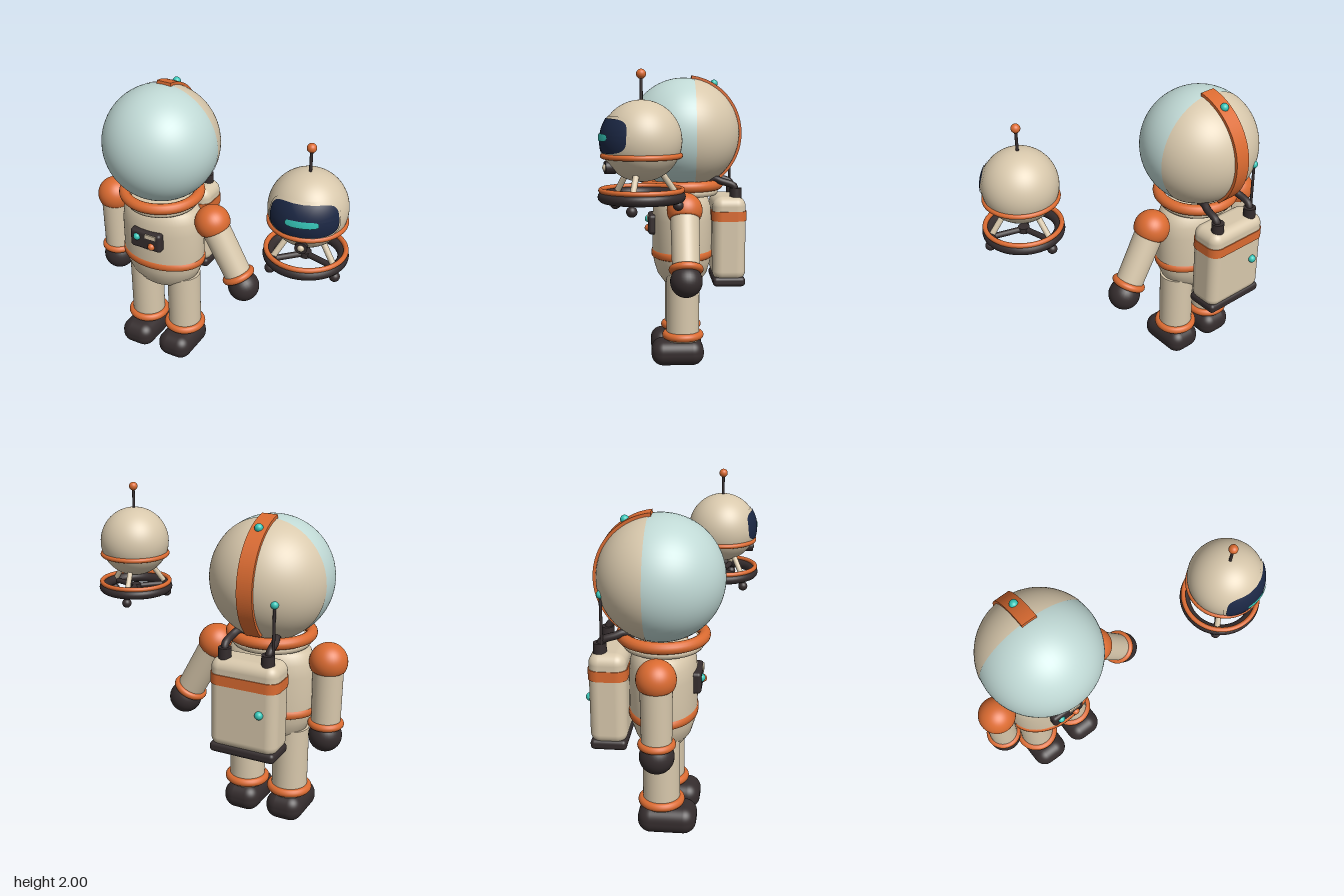
import * as THREE from 'three';
import { RoundedBoxGeometry } from 'three/addons/geometries/RoundedBoxGeometry.js';

const material = (name, color) => {
  const m = new THREE.MeshStandardMaterial({ color });
  m.name = name;
  return m;
};
const V = (x, y, z) => new THREE.Vector3(x, y, z);

export function createModel() {
  const cream = material('cream', 0xd8c8ac);
  const orange = material('orange', 0xdb6b31);
  const dark = material('charcoal', 0x352d2e);
  const glass = material('pale glass', 0xc0d9d5);
  const navy = material('navy', 0x1b2744);
  const teal = material('teal', 0x36c6b8);

  const add = (parent, name, geometry, mat, x = 0, y = 0, z = 0) => {
    const mesh = new THREE.Mesh(geometry, mat);
    mesh.name = name;
    mesh.position.set(x, y, z);
    parent.add(mesh);
    return mesh;
  };
  const group = (parent, name, x = 0, y = 0, z = 0) => {
    const g = new THREE.Group();
    g.name = name;
    g.position.set(x, y, z);
    parent.add(g);
    return g;
  };
  const ball = (r) => new THREE.SphereGeometry(r, 32, 20);
  const cyl = (rTop, rBottom, h) => new THREE.CylinderGeometry(rTop, rBottom, h, 40);
  // horizontal ring given by its outer radius
  const ring = (outer, tube) => new THREE.TorusGeometry(outer - tube, tube, 14, 64).rotateX(Math.PI / 2);
  const lathe = (pts) => new THREE.LatheGeometry(pts.map((p) => new THREE.Vector2(...p)), 64);
  const rod = (a, b, r) => new THREE.TubeGeometry(new THREE.LineCurve3(a, b), 1, r, 14);

  // horizontal slab with rounded corners, base at y = 0
  const slab = (w, d, r, h) => {
    const s = new THREE.Shape();
    const x = w / 2 - r, y = d / 2 - r, q = Math.PI / 2;
    s.absarc(x, y, r, 0, q);
    s.absarc(-x, y, r, q, 2 * q);
    s.absarc(-x, -y, r, 2 * q, 3 * q);
    s.absarc(x, -y, r, 3 * q, 4 * q);
    return new THREE.ExtrudeGeometry(s, { depth: h, bevelEnabled: false, curveSegments: 10 }).rotateX(-q);
  };

  // rounded patch lying on a sphere, sized by half angles
  const patch = (radius, halfLon, halfLat, midLat) => {
    const g = new THREE.RingGeometry(0, 1, 72, 14);
    const p = g.attributes.position;
    for (let i = 0; i < p.count; i++) {
      const r = Math.hypot(p.getX(i), p.getY(i));
      const t = Math.atan2(p.getY(i), p.getX(i));
      const bend = (v) => Math.sign(v) * Math.sqrt(Math.abs(v)) * r;
      const lon = halfLon * bend(Math.cos(t));
      const lat = midLat + halfLat * bend(Math.sin(t));
      p.setXYZ(i, radius * Math.cos(lat) * Math.sin(lon), radius * Math.sin(lat), radius * Math.cos(lat) * Math.cos(lon));
    }
    g.computeVertexNormals();
    return g;
  };

  const model = new THREE.Group();
  model.name = 'astronautAndRobot';

  // ---- Astronaut ----
  const astro = group(model, 'astronaut', -0.455, 0, -0.04);

  // torso and belt are flattened front to back
  add(astro, 'torso', lathe([[0, 0.525], [0.1, 0.53], [0.18, 0.56], [0.24, 0.62], [0.275, 0.7], [0.29, 0.79],
    [0.29, 1.0], [0.28, 1.08], [0.255, 1.14], [0.21, 1.175], [0, 1.19]]), cream).scale.z = 0.71;
  add(astro, 'belt', lathe([[0.28, 0.733], [0.296, 0.74], [0.299, 0.76], [0.296, 0.782], [0.28, 0.79]]), orange).scale.z = 0.71;
  add(astro, 'collar', lathe([[0.2, 1.16], [0.235, 1.163], [0.246, 1.18], [0.246, 1.2], [0.2, 1.22]]), cream);
  add(astro, 'neckRing', ring(0.282, 0.036), orange, 0, 1.235, 0);

  // chest panel
  add(astro, 'chestPanel', new RoundedBoxGeometry(0.23, 0.135, 0.065, 4, 0.022), dark, 0, 0.965, 0.203);
  add(astro, 'tealButton', ball(0.025), teal, -0.06, 0.985, 0.232);
  add(astro, 'orangeButton', ball(0.025), orange, 0.05, 0.937, 0.234);
  add(astro, 'panelLabel', new THREE.BoxGeometry(0.08, 0.028, 0.009), cream, 0.045, 1.008, 0.237);

  // helmet: glass in front, shell behind, stripe over the crown
  const helmet = group(astro, 'helmet', 0, 1.582, -0.01);
  const seam = 1.385;
  add(helmet, 'helmetGlass', new THREE.SphereGeometry(0.377, 64, 40, 0, Math.PI * 2, seam - 0.03, Math.PI - seam + 0.03).rotateX(-Math.PI / 2), glass);
  add(helmet, 'helmetShell', new THREE.SphereGeometry(0.38, 64, 32, 0, Math.PI * 2, 0, seam).rotateX(-Math.PI / 2), cream);
  const arc = new THREE.Shape();
  const a0 = THREE.MathUtils.degToRad(82), a1 = THREE.MathUtils.degToRad(-50);
  arc.absarc(0, 0, 0.395, a1, a0, false);
  arc.absarc(0, 0, 0.372, a0, a1, true);
  add(helmet, 'helmetStripe', new THREE.ExtrudeGeometry(arc, { depth: 0.1, bevelEnabled: false, curveSegments: 40 })
    .translate(0, 0, -0.05).rotateY(Math.PI / 2), orange);
  add(helmet, 'helmetLamp', ball(0.026), teal, 0, 0.338, -0.208);

  // arms and legs
  for (const side of [-1, 1]) {
    const name = side > 0 ? 'left' : 'right';
    const arm = group(astro, name + 'Arm', side * 0.377, 1.1, 0);
    if (side > 0) arm.rotation.z = 0.5;
    add(arm, 'shoulder', new THREE.SphereGeometry(0.117, 40, 24, 0, Math.PI * 2, 0, Math.PI * 0.65), orange);
    add(arm, 'shoulderRim', cyl(0.104, 0.096, 0.008), orange, 0, -0.056, 0);
    add(arm, 'sleeve', cyl(0.095, 0.09, 0.4), cream, 0, -0.2, 0);
    add(arm, 'cuff', ring(0.112, 0.024), orange, 0, -0.404, 0);
    add(arm, 'glove', ball(0.104), dark, 0, -0.485, 0);

    const leg = group(astro, name + 'Leg', side * 0.149, 0, 0);
    add(leg, 'trouser', cyl(0.113, 0.113, 0.46), cream, 0, 0.4, 0);
    add(leg, 'ankleRing', ring(0.143, 0.027), orange, 0, 0.206, 0);
    add(leg, 'boot', new RoundedBoxGeometry(0.24, 0.175, 0.36, 8, 0.08), dark, 0, 0.0875, 0.037);
  }

  // backpack
  const pack = group(astro, 'backpack', 0, 0, -0.313);
  add(pack, 'packBody', new RoundedBoxGeometry(0.44, 0.575, 0.225, 8, 0.065), cream, 0, 0.875, 0);
  add(pack, 'packBand', slab(0.45, 0.237, 0.07, 0.065), orange, 0, 1.0, 0);
  add(pack, 'packBase', new RoundedBoxGeometry(0.43, 0.065, 0.22, 4, 0.025), dark, 0, 0.582, 0);
  add(pack, 'packLamp', ball(0.026), teal, -0.12, 0.86, -0.117);
  add(pack, 'packAntenna', cyl(0.009, 0.009, 0.38), dark, -0.165, 1.33, -0.03);
  add(pack, 'packAntennaTip', ball(0.024), teal, -0.165, 1.52, -0.03);
  for (const side of [-1, 1]) {
    add(pack, 'hoseCap', cyl(0.04, 0.04, 0.08), dark, side * 0.14, 1.18, -0.045);
    const path = new THREE.CatmullRomCurve3([V(side * 0.14, 1.19, -0.045), V(side * 0.145, 1.235, -0.03),
      V(side * 0.14, 1.265, 0.05), V(side * 0.125, 1.28, 0.1), V(side * 0.11, 1.25, 0.15)]);
    add(pack, 'airHose', new THREE.TubeGeometry(path, 24, 0.024, 12), dark);
  }

  // ---- Hovering robot ----
  const robot = group(model, 'robot', 0.7, 0, 0.243);
  robot.rotation.y = Math.PI / 12;
  const head = group(robot, 'robotHead', 0, 1.6, 0);
  add(head, 'robotBody', new THREE.SphereGeometry(0.23, 64, 40), cream);
  add(head, 'visorFrame', patch(0.234, 1.03, 0.5, 0.15), cream);
  add(head, 'visor', patch(0.238, 0.95, 0.42, 0.15), navy);
  add(head, 'visorLight', patch(0.244, 0.4, 0.085, 0.1), teal);
  add(head, 'waistRing', ring(0.234, 0.016), orange, 0, -0.083, 0);
  add(head, 'antennaRod', cyl(0.009, 0.009, 0.16), dark, 0, 0.295, 0);
  add(head, 'antennaBall', ball(0.028), orange, 0, 0.372, 0);

  // small camera under the waist ring
  add(head, 'cameraHousing', cyl(0.036, 0.036, 0.06).rotateX(Math.PI / 2), dark, 0, -0.145, 0.183);
  add(head, 'cameraLens', ball(0.022), cream, 0, -0.145, 0.205);

  // landing ring with three struts, spokes and feet
  const base = group(robot, 'landingBase', 0, 1.285, 0);
  add(base, 'landingRing', ring(0.25, 0.033), dark);
  add(base, 'landingTrim', ring(0.246, 0.015), orange, 0, 0.038, 0);
  add(base, 'hub', cyl(0.035, 0.035, 0.035), dark);
  for (let i = 0; i < 3; i++) {
    const unit = group(base, 'landingLeg');
    unit.rotation.y = -Math.PI / 6 - (i * Math.PI * 2) / 3;
    add(unit, 'strut', rod(V(0.1, 0.16, 0), V(0.205, 0.01, 0), 0.018), cream);
    add(unit, 'spoke', rod(V(0, 0, 0), V(0.215, 0, 0), 0.018), dark);
    add(unit, 'foot', ball(0.031), dark, 0.217, -0.06, 0);
  }
  return model;
}
